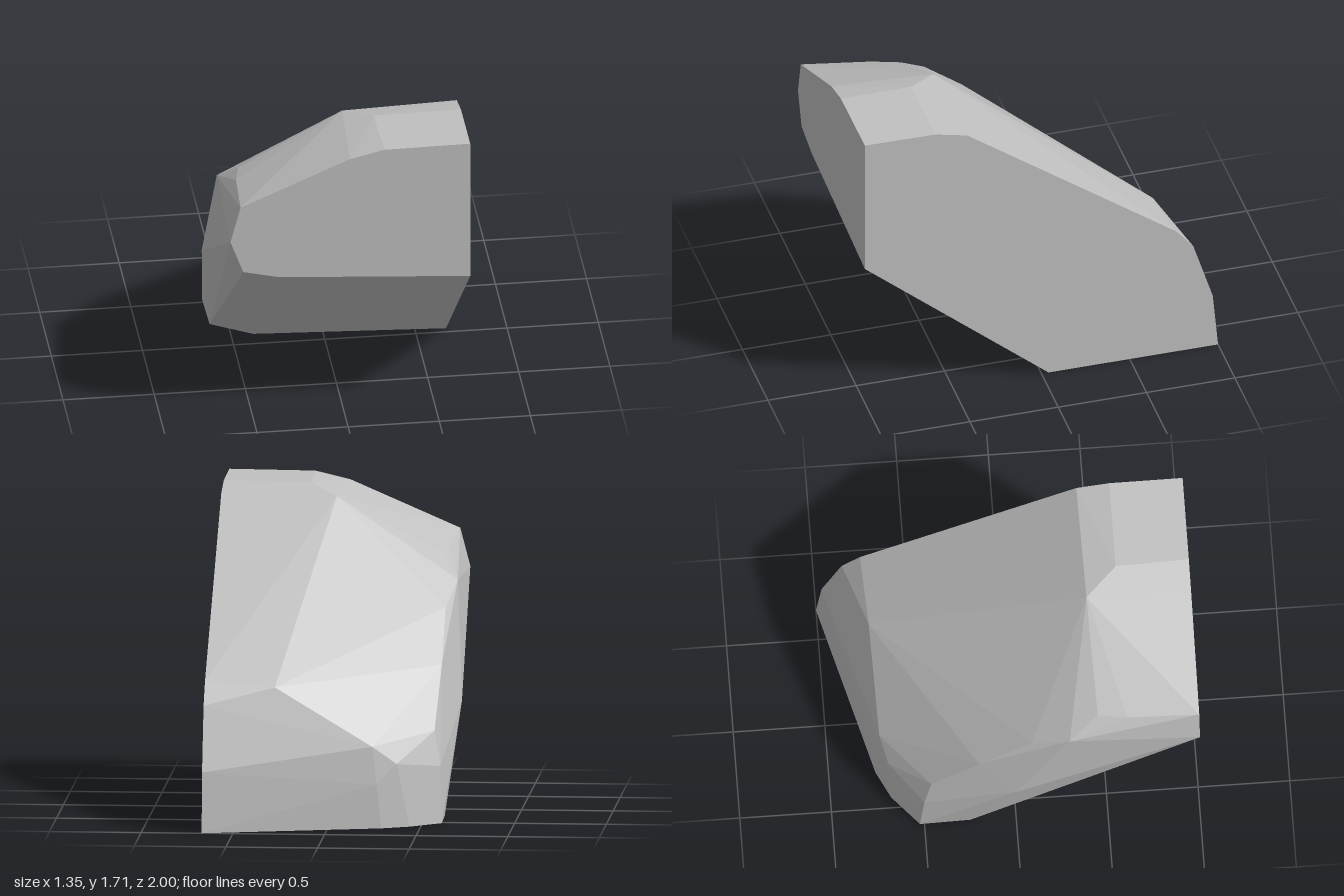
import * as THREE from 'three';
import { ConvexGeometry } from 'three/addons/geometries/ConvexGeometry.js';

// A cut chunk of rock: flat cut faces on +x, front, underside and bottom,
// with a worn, faceted back, top and right side.
export function createModel() {
  const group = new THREE.Group();
  group.name = 'rockChunk';
  const stone = new THREE.MeshStandardMaterial({ color: 0xc0c0c0 });
  stone.name = 'grey stone';

  const X = 0.67, Z = 1;
  // flat left cut: [z, y]
  const sideCut = [[1, 0.89], [1, 1.71], [0.6, 1.706], [0.42, 1.665], [-0.76, 0.8],
    [-0.86, 0.68], [-0.97, 0.33], [-1, 0], [-0.04, 0]];
  // flat front cut: [x, y]
  const frontCut = [[0.2, 1.705], [0.01, 1.66], [-0.59, 1.4], [-0.645, 1.19],
    [-0.575, 1.0], [-0.38, 0.955]];
  // flat base: [x, z]
  const base = [[-0.29, -0.745], [-0.44, -0.67], [-0.605, -0.525], [-0.6, -0.25], [-0.38, -0.11]];
  // worn corners: [x, y, z]
  const worn = [
    [0.29, 0.768, -0.74], [-0.24, 0.444, -0.72], [-0.56, 0.498, -0.46],
    [-0.58, 0.824, -0.2], [-0.58, 1.096, 0.09], [-0.535, 1.344, 0.45],
    [-0.565, 1.36, 0.61], [0.04, 1.65, 0.43], [0.19, 1.7, 0.6],
    [-0.595, 0.31, -0.5], [-0.37, 0.345, -0.68], [-0.265, 0.24, -0.74],
    [-0.675, 0.6, 0], [-0.63, 1.22, 0.29],
  ];

  const points = [
    ...sideCut.map(([z, y]) => new THREE.Vector3(X, y, z)),
    ...frontCut.map(([x, y]) => new THREE.Vector3(x, y, Z)),
    ...base.map(([x, z]) => new THREE.Vector3(x, 0, z)),
    ...worn.map((p) => new THREE.Vector3(...p)),
  ];
  const rock = new THREE.Mesh(new ConvexGeometry(points), stone);
  rock.name = 'rock';
  group.add(rock);
  return group;
}
